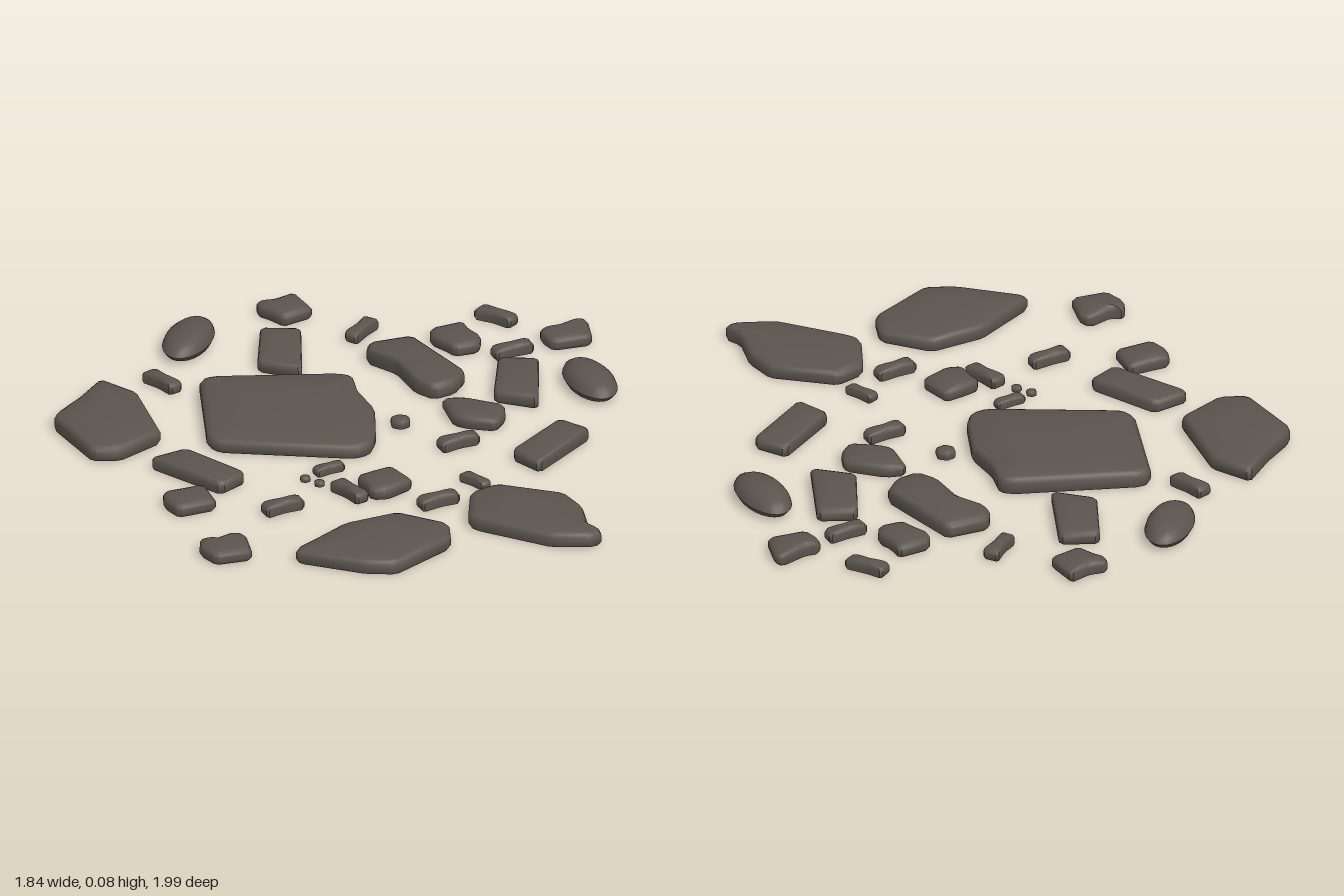
import * as THREE from 'three';
import { toCreasedNormals } from 'three/addons/utils/BufferGeometryUtils.js';

const stone = new THREE.MeshStandardMaterial({ color: 0x5a544d });
stone.name = 'dark stone';

// Cut each corner of an outline so that it reads as worn
function wear(points, cut) {
  const out = [];
  points.forEach((p, i) => {
    const before = points[(i + points.length - 1) % points.length];
    const after = points[(i + 1) % points.length];
    for (const q of [before, after]) {
      const d = p.distanceTo(q);
      out.push(p.clone().lerp(q, Math.min(0.3, cut / d)));
    }
  });
  return out;
}

// Loft an (x, z) outline through rings of [scale, height], closed top and bottom.
// slope tips the top along z; lean moves the crest along x.
function loft(outline, rings, slope = 0, lean = 0) {
  const n = outline.length, pos = [], index = [];
  const c = outline.reduce((a, p) => a.add(p), new THREE.Vector2()).divideScalar(n);
  const top = rings[rings.length - 1][1];
  for (const [s, y] of rings) {
    for (const p of outline) {
      const dz = (p.y - c.y) * s;
      pos.push(c.x + (p.x - c.x) * s + lean * (1 - s) * y / top, y * (1 + slope * dz), c.y + dz);
    }
  }
  for (let r = 0; r < rings.length - 1; r++) {
    for (let i = 0; i < n; i++) {
      const a = r * n + i, b = r * n + (i + 1) % n;
      index.push(a, a + n, b, b, a + n, b + n);
    }
  }
  const low = pos.length / 3, high = low + 1, last = (rings.length - 1) * n;
  pos.push(c.x, rings[0][1], c.y, c.x + lean, top, c.y);
  for (let i = 0; i < n; i++) {
    const j = (i + 1) % n;
    index.push(low, i, j, high, last + j, last + i);
  }
  const g = new THREE.BufferGeometry();
  g.setAttribute('position', new THREE.Float32BufferAttribute(pos, 3));
  g.setIndex(index);
  return toCreasedNormals(g, 0.75);
}

export function createModel() {
  const group = new THREE.Group();
  const add = (name, geometry) => {
    const mesh = new THREE.Mesh(geometry, stone);
    mesh.name = name;
    group.add(mesh);
  };

  // Flat stone with steep sides and a softened upper edge; outline in hundredths
  function slab(name, h, flat, slope = 0) {
    const pts = [];
    for (let i = 0; i < flat.length; i += 2) pts.push(new THREE.Vector2(flat[i], flat[i + 1]).divideScalar(100));
    const c = pts.reduce((a, p) => a.add(p), new THREE.Vector2()).divideScalar(pts.length);
    const radius = pts.reduce((a, p) => a + p.distanceTo(c), 0) / pts.length;
    const k = Math.min(0.24, 0.022 / radius);
    const rings = [[1 - k * 0.3, 0], [1, h * 0.2], [1, h * 0.6], [1 - k * 0.35, h * 0.8], [1 - k, h * 0.9], [0.5, h]];
    add(name, loft(wear(pts, Math.min(0.014, radius * 0.14)), rings, slope));
  }

  // Large paving slabs
  slab('centreSlab', 0.06, [-46, -32, -43, -34.5, 0, -38, 4.5, -36.5, 6.5, -26, 12.5, -14, 13.5, 5, 12, 12, 7, 15, -38.5, 12, -42, 8], -0.5);
  slab('leftHandSlab', 0.06, [-78.5, -32.5, -66, -23, -57, 6, -70, 19.5, -79.5, 20, -93, -3, -92, -7, -85, -18.5]);
  slab('frontSlab', 0.056, [23, 61.5, 40, 69, 41, 80, 24, 99.5, 13.5, 99.5, -9, 92.5, -10, 90, -1.5, 79.5, 5.5, 70.5]);
  slab('cornerSlab', 0.057, [54, 39.5, 77, 45.5, 83.5, 55.5, 86, 69, 91, 73.5, 88.5, 77, 74, 77.5, 48.5, 66, 46, 63.5, 46, 46]);
  slab('backSlab', 0.062, [22.5, -68, 41.5, -42, 38.5, -34, 31.5, -29.5, 25, -34.5, 18, -48.5, 8, -56, 8.5, -62.5]);

  // Oblong planks of stone
  [
    [-27.5, -73.5, -14, -73.5, -12.5, -43, -27.5, -48],
    [51.5, -54.5, 65, -54.5, 66, -24, 51, -28.5],
    [73.5, -10, 84, -3, 68, 23, 58.5, 14],
    [-49, 16.5, -28, 34, -36, 43, -60.5, 24],
  ].forEach((p) => slab('oblongStone', 0.052, p));

  // Angular chunks
  [
    [-29.5, -93, -23.5, -94.5, -17, -100, -10.5, -88.5, -20, -81.5, -24.5, -86, -29, -89],
    [64.5, -76.5, 69.5, -78, 77.5, -85, 80, -83.5, 82, -71.5, 69, -67, 65, -72.5],
    [-55, 48.5, -49, 46, -41.5, 42.5, -37, 54.5, -49.5, 60.5, -54.5, 54],
    [-41.5, 82, -37, 83, -30, 77, -26.5, 79, -24, 91, -36, 95, -41.5, 88.5],
    [8, 34.5, 12.5, 31, 19.5, 26.5, 27, 36.5, 19, 44.5, 13.5, 45, 11, 39],
    [28.5, -75.5, 39, -81, 41.5, -75, 45.5, -70.5, 45, -64.5, 37, -61.5, 34, -65, 28.5, -70],
    [34, -24, 41, -25, 55, -20, 55.5, -13, 53, -7, 43, -8.5, 38, -11],
  ].forEach((p) => slab('angularChunk', 0.05, p));

  // Waisted shards: x, z, turn in degrees, size
  const shard = [-6.3, -3, 0.2, -2.3, 8.2, -2.6, 7.7, 2.6, 0.8, 1.9, -6.5, 2.9];
  [
    [55.3, -64, -30, 1], [40, 4.2, -30, 1], [-16, 54, -30, 1], [35, 47.6, -30, 1],
    [-59, -37, 45, 1], [6, -77.7, 118, 1], [49, -89, 31, 1], [5.6, 41.3, 48, 1],
    [46.7, 31.5, 42, 0.78], [-1.7, 25, -32, 0.75],
  ].forEach(([x, z, turn, size]) => {
    const co = Math.cos(turn * Math.PI / 180) * size, si = Math.sin(turn * Math.PI / 180) * size;
    const p = [];
    for (let i = 0; i < shard.length; i += 2) {
      p.push(x + shard[i] * co - shard[i + 1] * si, z + shard[i] * si + shard[i + 1] * co);
    }
    slab('shard', 0.044 * size, p);
  });

  // Tiny pebbles
  [[21, -10.5, 3.6, 0.034], [-8.8, 31.2, 1.9, 0.02], [-4, 34.4, 1.9, 0.02]].forEach(([x, z, r, h]) => {
    const p = [];
    for (let i = 0; i < 6; i++) p.push(x + r * Math.cos(i * 1.047 + 0.4), z + r * 0.9 * Math.sin(i * 1.047 + 0.4));
    slab('pebble', h, p);
  });

  // Smooth domed ovals: x, z, turn, crest lean
  [[-0.508, -0.658, 0.26, 0.02], [0.823, -0.405, -0.42, -0.015]].forEach(([x, z, turn, lean]) => {
    const p = [];
    for (let i = 0; i < 24; i++) {
      const a = i / 24 * Math.PI * 2;
      p.push(new THREE.Vector2(0.079 * Math.cos(a), 0.148 * Math.sin(a)).rotateAround(new THREE.Vector2(), turn).add(new THREE.Vector2(x, z)));
    }
    const rings = [[0.6, 0], [0.86, 0.01], [1, 0.03], [0.93, 0.047], [0.75, 0.062], [0.5, 0.073], [0.25, 0.078]];
    add('ovalStone', loft(p, rings, 0, lean));
  });

  return group;
}
